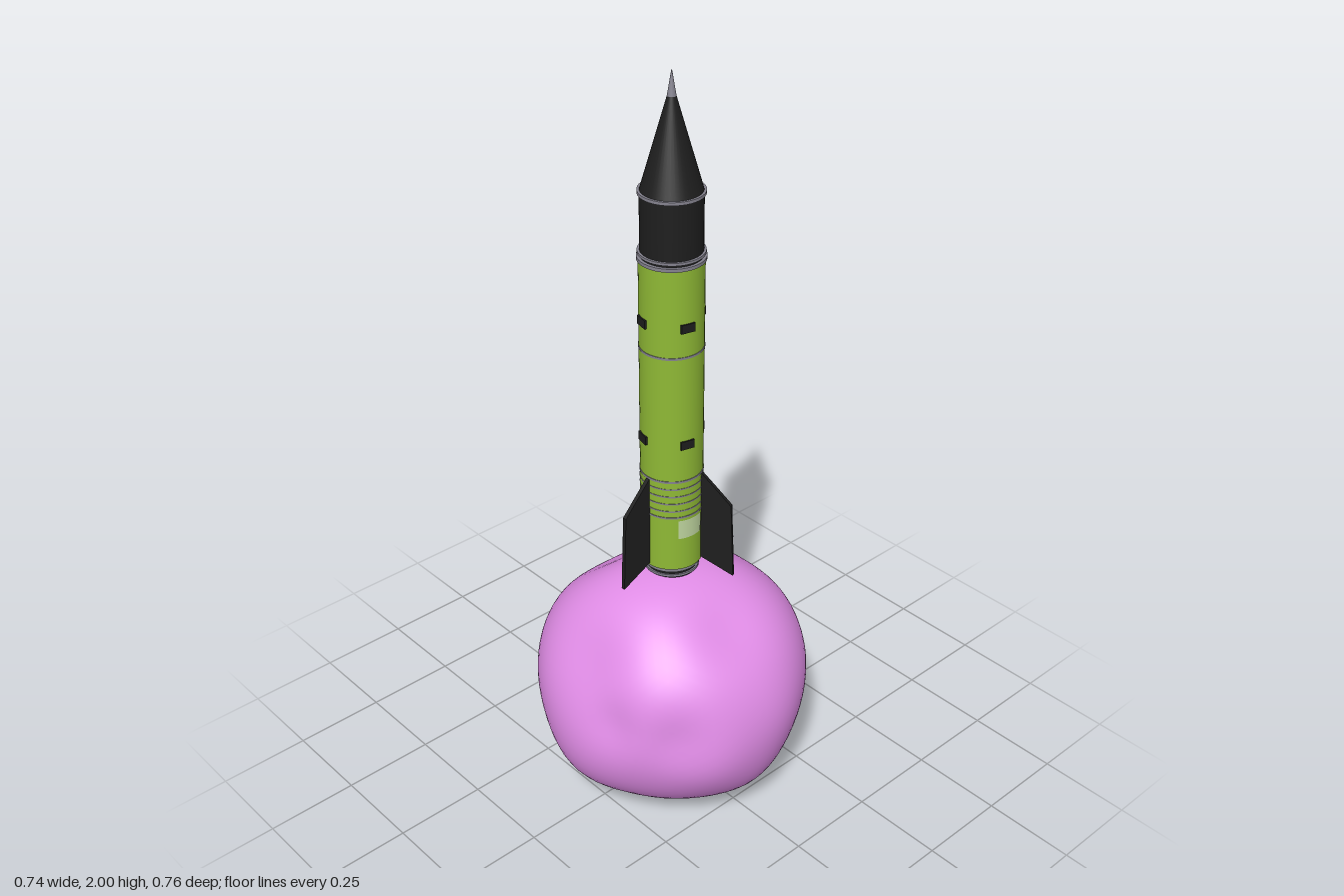
import * as THREE from 'three';
import { mergeVertices } from 'three/addons/utils/BufferGeometryUtils.js';

const mat = (name, color, side = THREE.FrontSide) => {
  const m = new THREE.MeshStandardMaterial({ color, side });
  m.name = name;
  return m;
};

// Lumpy ball: a flattened sphere with soft bumps and dents
function planetGeometry() {
  // direction x, y, z, height, angular width
  const bumps = [
    [-0.88, 0.47, 0, -0.032, 0.38], [-0.85, -0.5, 0, 0.03, 0.4],
    [0, 0.7, 0.65, -0.026, 0.35], [0, -0.56, 0.83, 0.03, 0.38],
    [0, 0.72, -0.69, -0.03, 0.35], [0.65, 0.2, -0.76, -0.02, 0.23],
    [-0.65, 0.05, 0.76, -0.018, 0.22], [-0.93, 0.1, 0.36, -0.02, 0.22],
    [-0.15, 0, -0.98, 0.014, 0.3], [-0.4, -0.2, 0.9, 0.016, 0.28],
    [0.15, 0, 0.98, 0.01, 0.3], [0.7, 0.7, 0, -0.01, 0.3],
    [0.5, -0.7, 0.5, 0.014, 0.4], [-0.5, -0.65, 0.55, 0.016, 0.4],
    [-0.5, -0.7, -0.5, 0.014, 0.4],
  ].map(([x, y, z, h, w]) => ({ dir: new THREE.Vector3(x, y, z).normalize(), h, w }));
  let g = new THREE.IcosahedronGeometry(1, 14);
  g.deleteAttribute('normal');
  g.deleteAttribute('uv');
  g = mergeVertices(g, 1e-4);
  const p = g.attributes.position;
  const v = new THREE.Vector3();
  for (let i = 0; i < p.count; i++) {
    v.fromBufferAttribute(p, i).normalize();
    let r = 0.367 - 0.037 * v.y * v.y;
    for (const b of bumps) r += b.h * Math.exp(-((v.angleTo(b.dir) / b.w) ** 2));
    p.setXYZ(i, v.x * r, Math.max(0, v.y * r + 0.33), v.z * r);
  }
  g.computeVertexNormals();
  return g;
}

export function createModel() {
  const model = new THREE.Group();
  model.name = 'rocketOnPlanet';
  const pink = mat('planet pink', 0xe690ec);
  const green = mat('hull green', 0x8fb935);
  const black = mat('black', 0x1e1e1e);
  const grey = mat('ring grey', 0x85838f);
  const rampGrey = mat('ramp grey', 0x5b5763, THREE.DoubleSide);
  const pale = mat('panel pale green', 0xc0d6a0);

  const add = (parent, name, geometry, material, x = 0, y = 0, z = 0) => {
    const m = new THREE.Mesh(geometry, material);
    m.name = name;
    m.position.set(x, y, z);
    parent.add(m);
    return m;
  };

  add(model, 'planet', planetGeometry(), pink);

  const rocket = new THREE.Group();
  rocket.name = 'rocket';
  rocket.position.set(0.006, 0, -0.008);
  model.add(rocket);

  const tube = (name, r0, r1, y0, y1, material) =>
    add(rocket, name, new THREE.CylinderGeometry(r1, r0, y1 - y0, 40), material, 0, (y0 + y1) / 2);

  // Hull, from the engine to the tip
  tube('engineSkirt', 0.066, 0.07, 0.645, 0.695, black);
  tube('engineRingLow', 0.072, 0.072, 0.66, 0.667, grey);
  tube('engineRingHigh', 0.074, 0.074, 0.677, 0.686, grey);
  tube('hull', 0.081, 0.081, 0.69, 1.548, green);
  tube('upperStage', 0.077, 0.077, 1.548, 1.712, black);
  tube('noseCone', 0.077, 0.011, 1.712, 1.94, black);
  tube('noseTip', 0.011, 0.001, 1.94, 2.0, grey);

  // Thin rings around the hull
  for (const [y, r, h] of [
    [1.712, 0.082, 0.008], [1.561, 0.083, 0.007], [1.546, 0.085, 0.009], [1.31, 0.0824, 0.006],
    [0.958, 0.0824, 0.006], [0.936, 0.082, 0.004], [0.914, 0.082, 0.004],
    [0.892, 0.082, 0.004], [0.87, 0.082, 0.004], [0.85, 0.0824, 0.005],
  ]) tube('hullRing', r, r, y - h / 2, y + h / 2, grey);

  // Four small windows at two levels
  for (const y of [1.065, 1.39]) {
    for (let i = 0; i < 4; i++) {
      const a = -0.24 + (i * Math.PI) / 2;
      const w = add(rocket, 'window', new THREE.BoxGeometry(0.037, 0.023, 0.008), black,
        Math.sin(a) * 0.0805, y, Math.cos(a) * 0.0805);
      w.rotation.y = a;
    }
  }

  // Curved pale panel on the front
  const panel = new THREE.CylinderGeometry(0.0822, 0.0822, 0.055, 10, 1, true, -0.52, 0.9);
  add(rocket, 'frontPanel', panel, pale, 0, 0.813, 0);

  // Three swept fins
  const finShape = new THREE.Shape([
    [0.074, 0.7], [0.17, 0.653], [0.161, 0.868], [0.13, 0.902], [0.074, 0.962],
  ].map(([x, y]) => new THREE.Vector2(x, y)));
  const finGeometry = new THREE.ExtrudeGeometry(finShape, { depth: 0.011, bevelEnabled: false });
  finGeometry.translate(0, 0, -0.0055);
  for (const a of [Math.PI, Math.PI / 3, -Math.PI / 3])
    add(rocket, 'fin', finGeometry, black).rotation.y = a;

  // Doorway with frame and rungs, and the boarding ramp
  add(rocket, 'doorway', new THREE.BoxGeometry(0.008, 0.072, 0.036), black, 0.078, 0.76, 0);
  for (const s of [-1, 1])
    add(rocket, 'doorPost', new THREE.BoxGeometry(0.014, 0.078, 0.006), black, 0.078, 0.76, s * 0.021);
  for (const y of [0.724, 0.797])
    add(rocket, 'doorBeam', new THREE.BoxGeometry(0.014, 0.006, 0.048), black, 0.078, y, 0);
  for (const y of [0.745, 0.765])
    add(rocket, 'doorRung', new THREE.BoxGeometry(0.004, 0.005, 0.026), rampGrey, 0.082, y, 0);
  const ramp = add(rocket, 'ramp', new THREE.BoxGeometry(0.145, 0.003, 0.047), rampGrey, 0.141, 0.688, 0);
  ramp.rotation.z = -Math.atan2(0.065, 0.128);

  return model;
}
